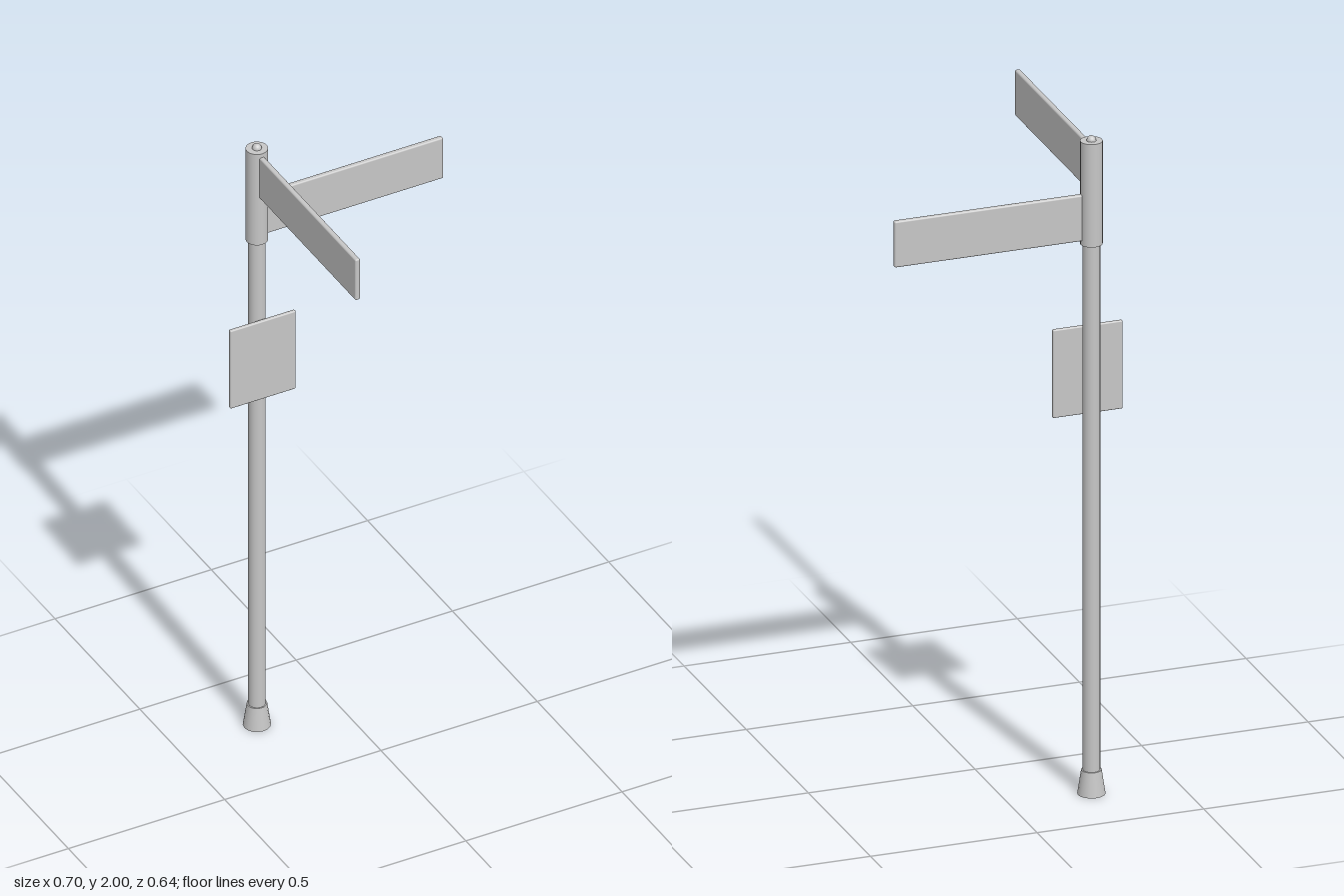
import * as THREE from 'three';
import { RoundedBoxGeometry } from 'three/addons/geometries/RoundedBoxGeometry.js';

const POLE_X = -0.245, POLE_Z = -0.28;

export function createModel() {
  const group = new THREE.Group();
  group.name = 'signpost';
  const metal = new THREE.MeshStandardMaterial({ color: 0xc6c6c6 });
  metal.name = 'light grey metal';

  const add = (name, geometry, x, y, z) => {
    const mesh = new THREE.Mesh(geometry, metal);
    mesh.name = name;
    mesh.position.set(x, y, z);
    group.add(mesh);
    return mesh;
  };

  // Round section of the post between two heights
  const section = (name, rTop, rBottom, y0, y1, sides = 20) =>
    add(name, new THREE.CylinderGeometry(rTop, rBottom, y1 - y0, sides), POLE_X, (y0 + y1) / 2, POLE_Z);

  // Thin plate with softened edges, given by its extents
  const plate = (name, x0, x1, y0, y1, z0, z1, radius) =>
    add(name, new RoundedBoxGeometry(x1 - x0, y1 - y0, z1 - z0, 2, radius),
      (x0 + x1) / 2, (y0 + y1) / 2, (z0 + z1) / 2);

  // Post, from the ground up
  section('flaredFoot', 0.029, 0.04, 0, 0.073, 16);
  section('pole', 0.025, 0.025, 0.06, 1.7);
  section('topSleeve', 0.032, 0.032, 1.672, 1.985);

  // Small domed button on the cap
  const dome = new THREE.SphereGeometry(0.0138, 16, 6, 0, Math.PI * 2, 0, Math.PI / 2);
  add('capButton', dome, POLE_X, 1.985, POLE_Z).scale.y = 1.08;

  // Two direction blades at right angles, let into the sleeve
  plate('lowerBlade', POLE_X, 0.348, 1.685, 1.825, POLE_Z - 0.008, POLE_Z + 0.008, 0.005);
  plate('upperBlade', POLE_X - 0.008, POLE_X + 0.008, 1.832, 1.972, POLE_Z, 0.316, 0.005);

  // Notice panel on the front of the pole
  plate('noticePanel', -0.35, -0.14, 1.144, 1.412, -0.2535, -0.2415, 0.004);

  return group;
}
